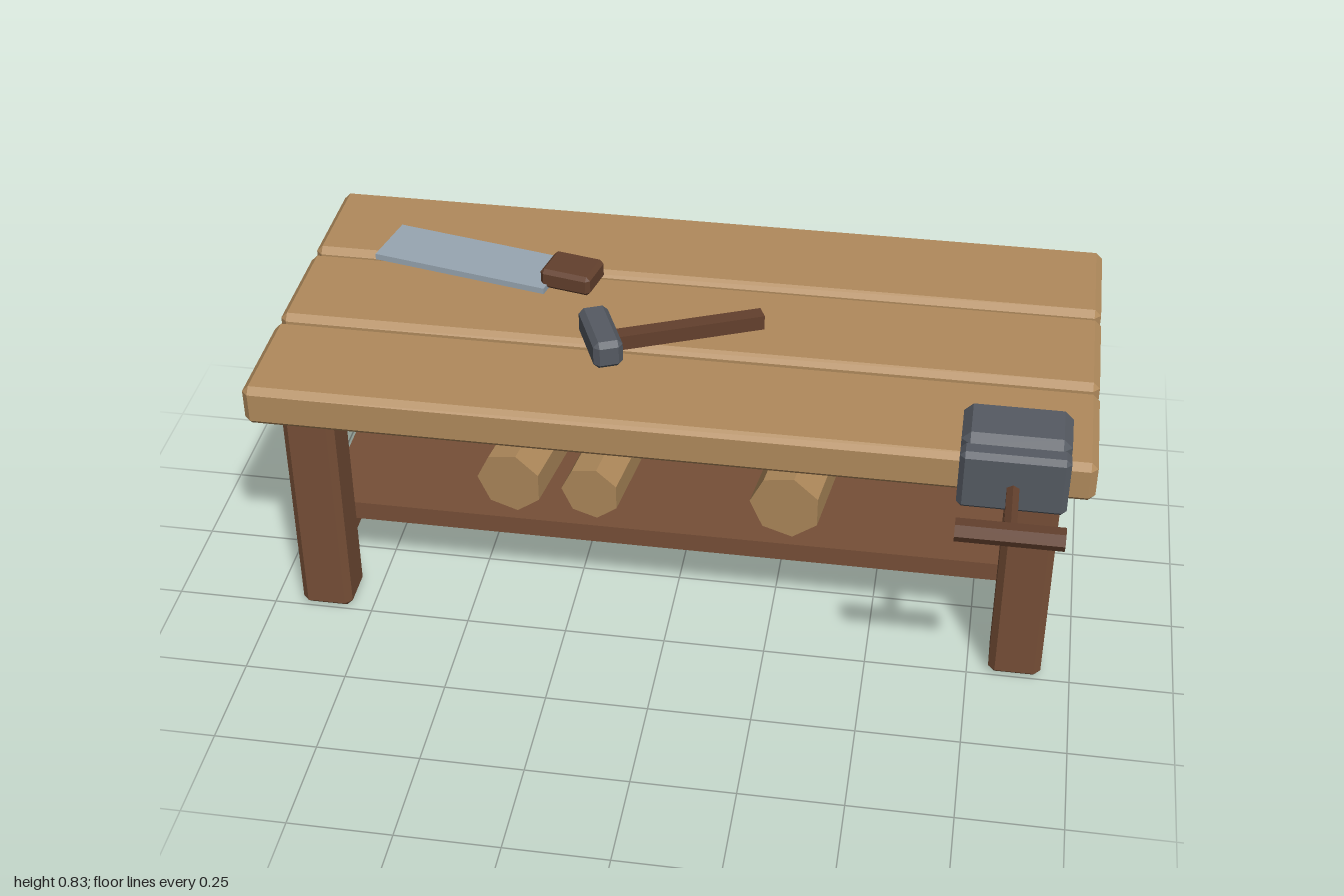
import * as THREE from 'three';
import { ConvexGeometry } from 'three/addons/geometries/ConvexGeometry.js';

const paint = (color) => new THREE.MeshStandardMaterial({ color, flatShading: true });
const topWood = paint(0xb08a5c);
const frameWood = paint(0x764f37);
const logWood = paint(0xad885a);
const handleWood = paint(0x63402d);
const iron = paint(0x555a62);
const steel = paint(0x98a6b2);

// Box with every edge cut by a flat chamfer c
function chamferBox(w, h, d, c) {
  const points = [];
  for (const x of [-1, 1]) for (const y of [-1, 1]) for (const z of [-1, 1]) {
    const [a, b, e] = [w / 2, h / 2, d / 2];
    points.push(
      new THREE.Vector3(x * a, y * (b - c), z * (e - c)),
      new THREE.Vector3(x * (a - c), y * b, z * (e - c)),
      new THREE.Vector3(x * (a - c), y * (b - c), z * e));
  }
  return new ConvexGeometry(points);
}

function add(parent, name, geometry, material, x, y, z) {
  const mesh = new THREE.Mesh(geometry, material);
  mesh.name = name;
  mesh.position.set(x, y, z);
  parent.add(mesh);
  return mesh;
}

function subGroup(parent, name, x, y, z, turn = 0) {
  const group = new THREE.Group();
  group.name = name;
  group.position.set(x, y, z);
  group.rotation.y = turn;
  parent.add(group);
  return group;
}

export function createModel() {
  const bench = new THREE.Group();
  bench.name = 'workbench';

  // Three top planks with narrow gaps
  for (const z of [0.15, -0.17, -0.488]) {
    add(bench, 'topPlank', chamferBox(2, 0.105, 0.302, 0.016), topWood, 0, 0.64, z);
  }

  // Legs and the side rails between them
  for (const side of [-1, 1]) {
    for (const z of [0.187, -0.523]) {
      add(bench, 'leg', chamferBox(0.127, 0.588, 0.127, 0.016), frameWood, side * 0.865, 0.294, z);
    }
    add(bench, 'sideRail', new THREE.BoxGeometry(0.08, 0.076, 0.6), frameWood, side * 0.865, 0.157, -0.168);
  }

  // Lower shelf
  add(bench, 'shelf', new THREE.BoxGeometry(1.72, 0.05, 0.585), frameWood, 0, 0.22, -0.168);

  // Seven-sided logs lying on the shelf: x, radius, turn
  for (const [x, r, turn] of [[-0.385, 0.085, -0.15], [-0.185, 0.075, -0.13], [0.3, 0.09, -0.13]]) {
    const geometry = new THREE.CylinderGeometry(r, r, 0.37, 7, 1, false, -Math.PI / 2);
    geometry.rotateX(Math.PI / 2);
    const log = add(bench, 'log', geometry, logWood, x, 0.247 + r * 0.975, -0.09);
    log.rotation.y = turn;
  }

  // Hand saw
  const saw = subGroup(bench, 'saw', -0.585, 0, -0.328, -0.208);
  add(saw, 'sawBlade', new THREE.BoxGeometry(0.465, 0.016, 0.154), steel, 0, 0.707, 0);
  add(saw, 'sawHandle', chamferBox(0.133, 0.053, 0.108, 0.01), handleWood, 0.279, 0.727, 0.002);

  // Hammer
  const hammer = subGroup(bench, 'hammer', -0.187, 0, 0.022, 0.41);
  add(hammer, 'hammerHead', chamferBox(0.072, 0.072, 0.18, 0.013), iron, 0, 0.741, 0);
  add(hammer, 'hammerHandle', new THREE.BoxGeometry(0.4, 0.038, 0.038), handleWood, 0.203, 0.725, 0);

  // Vise on the front edge: body, jaw, screw and turning bar
  const vise = subGroup(bench, 'vise', 0.81, 0, 0);
  add(vise, 'viseBody', chamferBox(0.243, 0.137, 0.148, 0.02), iron, 0, 0.757, 0.337);
  add(vise, 'viseJaw', chamferBox(0.243, 0.15, 0.054, 0.012), iron, 0, 0.741, 0.437);
  const screw = new THREE.CylinderGeometry(0.016, 0.016, 0.16, 6).rotateX(Math.PI / 2);
  add(vise, 'viseScrew', screw, handleWood, 0, 0.728, 0.535);
  const bar = new THREE.CylinderGeometry(0.026, 0.026, 0.236, 6).rotateZ(Math.PI / 2);
  add(vise, 'viseBar', bar, handleWood, 0, 0.728, 0.618);

  return bench;
}
